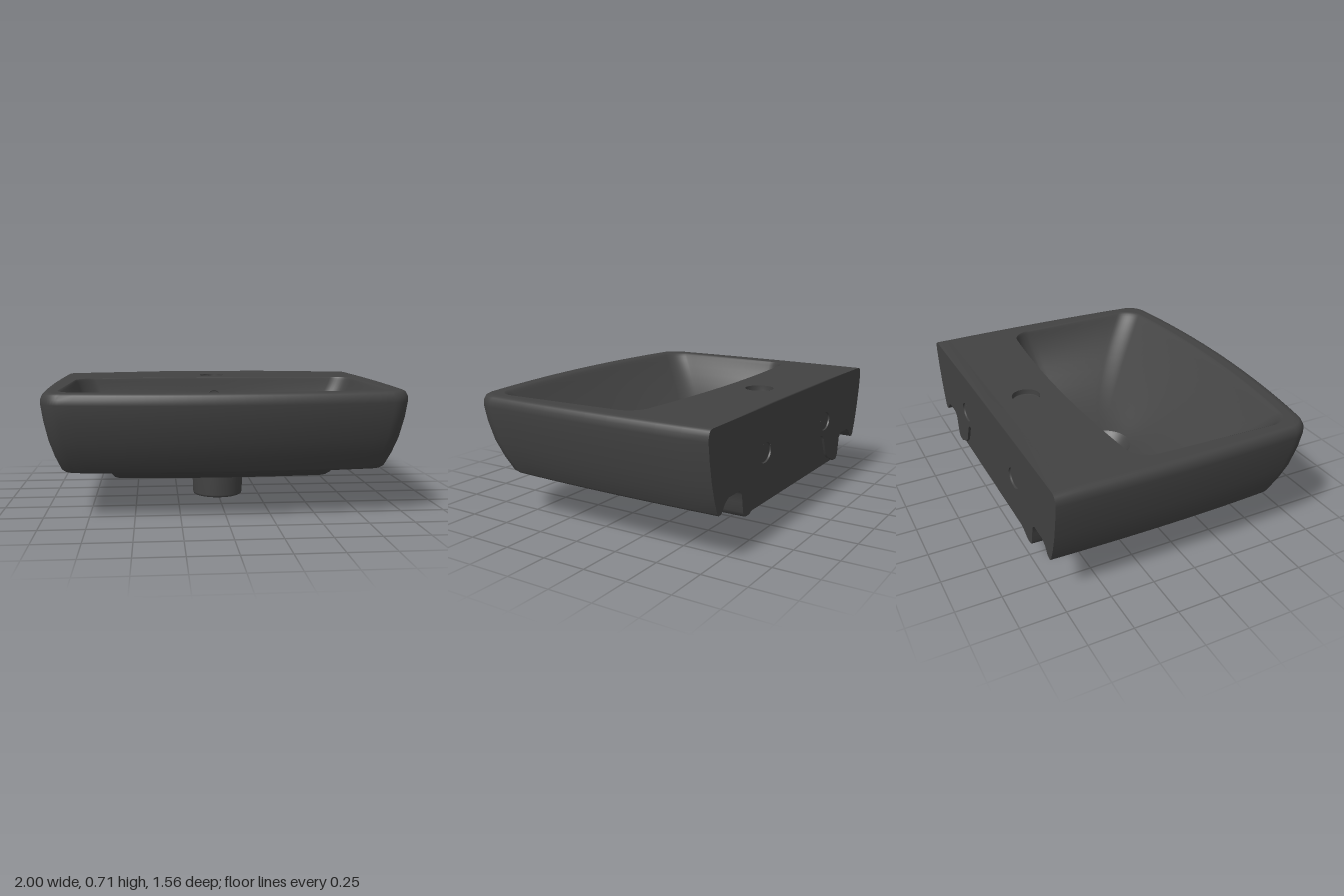
import * as THREE from 'three';

const BACK = -0.78, DRAIN_Z = -0.05;
const V2 = (x, y) => new THREE.Vector2(x, y);

// Front edge from +x to -x: two rounded corners joined by a gentle bow (x, z pairs)
function frontCurve(w, zf, r, bow) {
  const pts = [], K = 10, M = 24;
  for (let i = 0; i <= K; i++) {
    const a = (i / K) * Math.PI / 2;
    pts.push(V2(w - r + r * Math.cos(a), zf - r + r * Math.sin(a)));
  }
  for (let i = 1; i < M; i++) pts.push(V2((w - r) * (1 - 2 * i / M), zf));
  for (let i = K; i >= 0; i--) pts.push(V2(-pts[i].x, pts[i].y));
  pts.forEach(p => { p.y -= bow * (p.x / w) ** 2; });
  return pts;
}

// Straight run of points between two points, ends left out
function between(a, b, n) {
  return Array.from({ length: n - 1 }, (_, i) => a.clone().lerp(b, (i + 1) / n));
}

// Skin through rings of Vector3 with equal point counts
function loft(rings, closed) {
  const n = rings[0].length, index = [];
  for (let i = 0; i < rings.length - 1; i++) {
    for (let j = 0; j < (closed ? n : n - 1); j++) {
      const k = (j + 1) % n;
      const a = i * n + j, b = a + n, c = i * n + k, d = c + n;
      index.push(a, b, c, c, b, d);
    }
  }
  const g = new THREE.BufferGeometry().setFromPoints(rings.flat());
  g.setIndex(index);
  g.computeVertexNormals();
  return g;
}

function circlePath(x, y, rx, ry = rx) {
  const p = new THREE.Path();
  p.absellipse(x, y, rx, ry, 0, Math.PI * 2);
  return p;
}

export function createModel() {
  const group = new THREE.Group();
  const ceramic = new THREE.MeshStandardMaterial({ color: 0x424242, side: THREE.DoubleSide });
  ceramic.name = 'dark grey ceramic';
  const add = (name, geometry) => {
    const m = new THREE.Mesh(geometry, ceramic);
    m.name = name;
    group.add(m);
    return m;
  };

  // Outer shell: half width, front z, height, corner radius, bow;
  // from the lower block out through the groove, lip and side to the rim
  const rows = [
    [0.62, 0.31, 0.17, 0.05, 0.03], [0.633, 0.335, 0.175, 0.06, 0.03],
    [0.645, 0.40, 0.20, 0.07, 0.03], [0.655, 0.48, 0.255, 0.08, 0.03],
    [0.662, 0.49, 0.30, 0.08, 0.03], [0.69, 0.505, 0.325, 0.08, 0.035],
    [0.80, 0.54, 0.325, 0.08, 0.045], [0.835, 0.56, 0.305, 0.08, 0.055],
    [0.865, 0.59, 0.267, 0.08, 0.065], [0.88, 0.605, 0.26, 0.08, 0.07],
    [0.898, 0.622, 0.26, 0.08, 0.07], [0.91, 0.637, 0.272, 0.08, 0.07],
    [0.94, 0.685, 0.35, 0.085, 0.075], [0.966, 0.73, 0.44, 0.09, 0.08],
    [0.988, 0.764, 0.55, 0.10, 0.083], [1.0, 0.78, 0.64, 0.105, 0.085],
    [0.998, 0.778, 0.668, 0.105, 0.085], [0.988, 0.768, 0.69, 0.10, 0.085],
    [0.975, 0.755, 0.698, 0.09, 0.085], [0.955, 0.735, 0.70, 0.08, 0.085],
  ];
  const backWidth = w => w * 0.988;
  const plan = ([w, zf, , r, bow]) => {
    const front = frontCurve(w * 0.982, zf, r, bow);
    const side = new THREE.QuadraticBezierCurve(V2(backWidth(w), BACK), V2(w * 1.015, -0.05), front[0])
      .getPoints(10).slice(0, -1);
    return [...side, ...front, ...side.map(p => V2(-p.x, p.y)).reverse()];
  };
  add('outerShell', loft(rows.map(r => plan(r).map(p => new THREE.Vector3(p.x, r[2], p.y)))));

  // Closed outline with its own front and back half
  const outline = (front, back) => {
    const rear = back.map(p => V2(-p.x, -p.y));
    return [...front, ...between(front.at(-1), rear[0], 16),
      ...rear, ...between(rear.at(-1), front[0], 16)];
  };
  const opening = outline(frontCurve(0.90, 0.685, 0.10, 0.07), frontCurve(0.875, 0.34, 0.11, 0.05));
  const floor = outline(frontCurve(0.60, 0.27, 0.10, 0.03), frontCurve(0.72, 0.312, 0.12, 0.03));

  // Top deck with the bowl opening and tap hole
  const flip = p => V2(p.x, -p.y);
  const deck = new THREE.Shape(plan(rows.at(-1)).map(flip));
  deck.holes.push(new THREE.Path(opening.map(flip)), circlePath(0, 0.537, 0.08));
  add('deck', new THREE.ShapeGeometry(deck, 32).rotateX(-Math.PI / 2).translate(0, 0.70, 0));

  // Slight rise of the deck towards the wall
  add('backLip', loft([[-0.70, 0.70], [BACK, 0.71], [BACK, 0.70]].map(([z, y]) =>
    [V2(-0.95, 0.70), V2(-0.33, y), V2(0.33, y), V2(0.95, 0.70)].map(p => new THREE.Vector3(p.x, p.y, z)))));

  // Bowl: rounded shoulder, steep walls easing into a floor that falls to the drain
  const steps = [0, 0.01, 0.022, 0.038, 0.06, 0.1, 0.16, 0.23, 0.31, 0.4, 0.5, 0.6, 0.7, 0.8, 0.9, 1];
  const bezier = (t, a, b, c) => a * (1 - t) ** 2 + 2 * b * t * (1 - t) + c * t * t;
  add('bowl', loft(steps.map(t => opening.map((p, i) => {
    const f = floor[i], a = Math.atan2(f.y - DRAIN_Z, f.x);
    return new THREE.Vector3(
      bezier(t, p.x, f.x, 0.165 * Math.cos(a)),
      bezier(t, 0.70, 0.29, 0.25) + 0.8 * t * Math.exp(-t / 0.03),
      bezier(t, p.y, f.y, DRAIN_Z + 0.165 * Math.sin(a)));
  })), true));

  // Drain seat and outlet pipe
  const pipe = [[0.165, 0.25], [0.157, 0.243], [0.13, 0.212], [0.107, 0.196], [0.10, 0.185], [0.10, 0.02],
    [0.108, 0.002], [0.112, 0], [0.142, 0], [0.149, 0.004], [0.152, 0.014], [0.157, 0.175]];
  add('drainOutlet', new THREE.LatheGeometry(pipe.map(p => V2(...p)), 48).translate(0, 0, DRAIN_Z));

  // Back wall with a wide shallow recess and two fixing holes
  const edge = rows.map(r => V2(backWidth(r[0]), r[2]));
  const half = [V2(0.57, 0.17), V2(0.53, 0.19), V2(0.48, 0.21), V2(0.45, 0.24),
    V2(0.40, 0.345), V2(0.385, 0.365), V2(0.35, 0.375)];
  const mirror = pts => pts.map(p => V2(-p.x, p.y)).reverse();
  const recess = [...half.map(p => V2(-p.x, p.y)), ...half.slice().reverse()];
  const wall = new THREE.Shape([...edge, ...mirror(edge), ...recess]);
  for (const s of [-1, 1]) wall.holes.push(circlePath(0.405 * s, 0.455, 0.07, 0.055));
  add('backWall', new THREE.ShapeGeometry(wall, 24).rotateY(Math.PI).translate(0, 0, BACK));

  // Recess walls and inner panel
  const DEEP = -0.765;
  add('recessSides', loft([BACK, DEEP].map(z => recess.map(p => new THREE.Vector3(p.x, p.y, z)))));
  add('recessPanel', new THREE.ShapeGeometry(new THREE.Shape(recess)).rotateY(Math.PI).translate(0, 0, DEEP));

  // Underside of the lower block, cut away at the recess and the outlet
  const base = new THREE.Shape([...plan(rows[0]),
    V2(-0.57, BACK), V2(-0.57, DEEP), V2(0.57, DEEP), V2(0.57, BACK)]);
  base.holes.push(circlePath(0, DRAIN_Z, 0.15));
  add('underside', new THREE.ShapeGeometry(base, 32).rotateX(Math.PI / 2).translate(0, 0.17, 0));

  // Shallow blind holes for the tap and wall fixings
  const pit = (r, d) => new THREE.LatheGeometry(
    [V2(r, 0), V2(r, -d + 0.002), V2(r - 0.002, -d), V2(r - 0.006, -d), V2(0, -d)], 36);
  add('tapHole', pit(0.08, 0.03)).position.set(0, 0.70, -0.537);
  for (const s of [-1, 1]) {
    const hole = add(s > 0 ? 'leftFixingHole' : 'rightFixingHole', pit(0.07, 0.01));
    hole.rotation.x = -Math.PI / 2;
    hole.scale.z = 0.055 / 0.07;
    hole.position.set(0.405 * s, 0.455, BACK);
  }

  // Overflow inlet on the rear slope of the bowl
  const overflow = add('overflowInlet', new THREE.LatheGeometry(
    [V2(0, -0.002), V2(0.036, -0.002), V2(0.039, 0.004), V2(0.042, 0.004), V2(0.045, -0.006)], 32));
  overflow.rotation.x = Math.PI / 2 - 0.12;
  overflow.position.set(0, 0.575, -0.326);

  return group;
}
